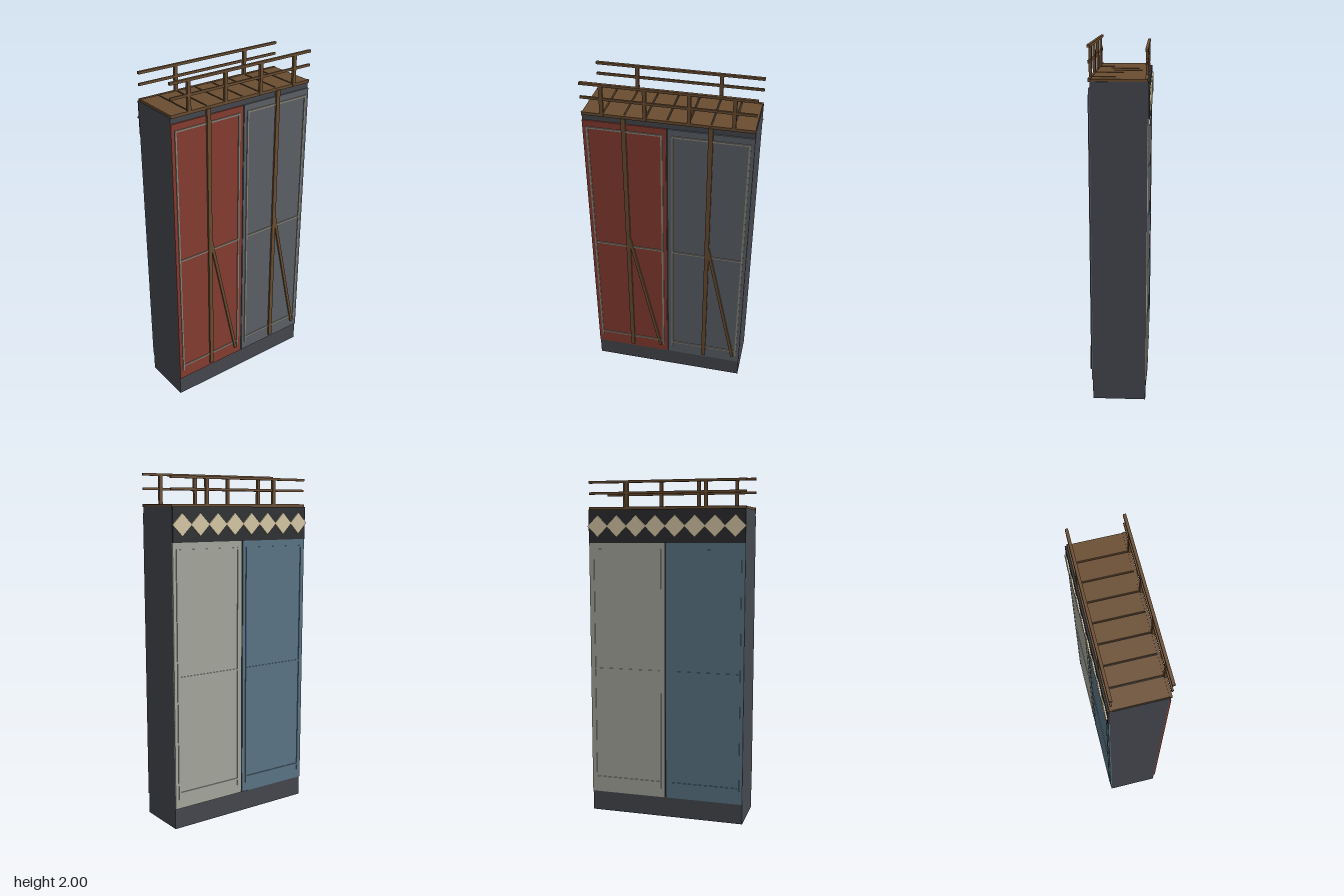
import * as THREE from 'three';

const mat = (color) => new THREE.MeshStandardMaterial({ color });
const M = {
  body: mat(0x45484e), dark: mat(0x2c2d30), red: mat(0x873d31), grey: mat(0x5c6168),
  pale: mat(0xa8aaa0), blue: mat(0x5c7687), trim: mat(0x8a857a), wood: mat(0x6a4d31), cream: mat(0xd8c9a8),
};

// Box given by its min and max corners
function box(parent, name, material, x0, x1, y0, y1, z0, z1) {
  const mesh = new THREE.Mesh(new THREE.BoxGeometry(x1 - x0, y1 - y0, z1 - z0), material);
  mesh.position.set((x0 + x1) / 2, (y0 + y1) / 2, (z0 + z1) / 2);
  mesh.name = name;
  parent.add(mesh);
  return mesh;
}

// Flat door panel with raised trim; side is +1 for the front, -1 for the back
function panel(name, material, trim, cx, top, side) {
  const g = new THREE.Group();
  g.name = name;
  const slab = (n, m, x0, x1, y0, y1, zIn, zOut) =>
    box(g, n, m, x0, x1, y0, y1, Math.min(side * zIn, side * zOut), Math.max(side * zIn, side * zOut));
  slab('panelBoard', material, cx - 0.229, cx + 0.229, 0.12, top, 0.148, 0.157);
  for (const s of [-1, 1]) {
    const x = cx + s * 0.204;
    slab('trimUpright', trim, x - 0.005, x + 0.005, 0.175, top - 0.035, 0.155, 0.162);
  }
  for (const y of [0.212, (top + 0.14) / 2, top - 0.042])
    slab('trimRail', trim, cx - 0.204, cx + 0.204, y - 0.005, y + 0.005, 0.155, 0.162);
  return g;
}

// Railing with two horizontal bars
function railing(name, z, top, low, posts) {
  const g = new THREE.Group();
  g.name = name;
  for (const x of posts) box(g, 'railPost', M.wood, x - 0.01, x + 0.01, 1.815, top - 0.003, z - 0.008, z + 0.008);
  box(g, 'topRail', M.wood, -0.463, 0.463, top - 0.014, top, z - 0.008, z + 0.008);
  box(g, 'lowerRail', M.wood, -0.463, 0.463, low - 0.007, low + 0.007, z - 0.005, z + 0.005);
  return g;
}

export function createModel() {
  const model = new THREE.Group();
  model.name = 'panelledBlock';

  // Main body
  box(model, 'body', M.body, -0.463, 0.463, 0, 1.815, -0.15, 0.15);

  // Door panels and the seams between them
  const cx = 0.234;
  model.add(
    panel('frontRightPanel', M.red, M.trim, -cx, 1.78, 1),
    panel('frontLeftPanel', M.grey, M.trim, cx, 1.78, 1),
    panel('backLeftPanel', M.pale, M.pale, cx, 1.625, -1),
    panel('backRightPanel', M.blue, M.blue, -cx, 1.625, -1));
  box(model, 'frontSeam', M.dark, -0.006, 0.006, 0.12, 1.78, 0.148, 0.153);
  box(model, 'backSeam', M.dark, -0.006, 0.006, 0.12, 1.625, -0.153, -0.148);

  // Frieze of diamond tiles on the back
  box(model, 'friezeBoard', M.dark, -0.463, 0.463, 1.625, 1.815, -0.161, -0.148);
  for (let i = 0; i < 8; i++) {
    const tile = new THREE.Mesh(new THREE.BoxGeometry(0.088, 0.088, 0.008), M.cream);
    tile.name = 'diamondTile';
    tile.rotation.z = Math.PI / 4;
    tile.position.set((i - 3.5) * 0.116, 1.72, -0.165);
    model.add(tile);
  }

  // Plank deck with edge boards
  for (let i = 0; i < 8; i++) {
    const x = (i - 3.5) * 0.116;
    box(model, 'deckPlank', M.wood, x - 0.054, x + 0.054, 1.812, 1.828, -0.14, 0.15);
  }
  box(model, 'deckEdgeFront', M.wood, -0.463, 0.463, 1.813, 1.83, 0.145, 0.16);
  box(model, 'deckEdgeBack', M.wood, -0.463, 0.463, 1.813, 1.83, -0.15, -0.134);

  // Railings on both long edges
  model.add(
    railing('frontRailing', 0.154, 2.0, 1.914, [-0.35, -0.118, 0.116, 0.35]),
    railing('backRailing', -0.142, 1.978, 1.908, [-0.233, 0.233]));

  // Upright poles with slanted braces on the front
  for (const x of [-0.234, 0.233]) {
    box(model, 'pole', M.wood, x - 0.0125, x + 0.0125, 0.142, 1.818, 0.154, 0.168);
    const a = new THREE.Vector2(x + 0.006, 1.025), b = new THREE.Vector2(x + 0.187, 0.168);
    const d = b.clone().sub(a);
    const brace = new THREE.Mesh(new THREE.BoxGeometry(0.018, d.length(), 0.012), M.wood);
    brace.name = 'brace';
    brace.position.set((a.x + b.x) / 2, (a.y + b.y) / 2, 0.161);
    brace.rotation.z = Math.atan2(-d.x, d.y);
    model.add(brace);
  }
  return model;
}
